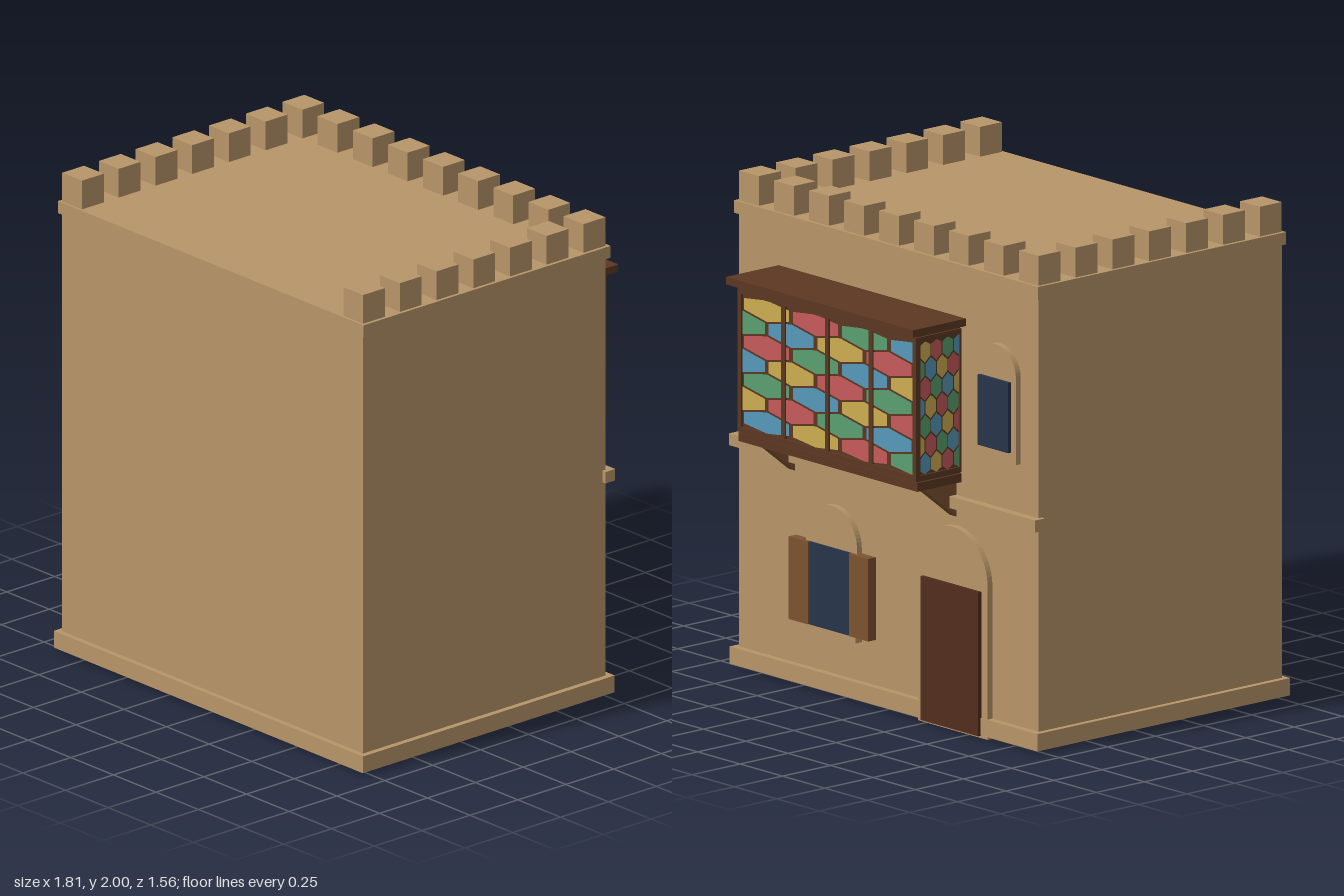
import * as THREE from 'three';

const mat = (name, color, side = THREE.FrontSide) => {
  const m = new THREE.MeshStandardMaterial({ color, side });
  m.name = name;
  return m;
};

export function createModel() {
  const stone = mat('sandstone', 0xb89669);
  const darkWood = mat('darkWood', 0x5c3822);
  const wood = mat('wood', 0x7d5331);
  const doorWood = mat('doorWood', 0x522d1c);
  const pane = mat('darkPane', 0x273449);
  const glass = [
    mat('yellowGlass', 0xcfae52), mat('redGlass', 0xc75a5c),
    mat('greenGlass', 0x5a9f70), mat('blueGlass', 0x5599bb),
  ];

  const house = new THREE.Group();
  house.name = 'house';
  const add = (name, geo, material, parent = house) => {
    const mesh = new THREE.Mesh(geo, material);
    mesh.name = name;
    parent.add(mesh);
    return mesh;
  };
  // Box given by its limits on each axis
  const box = (name, m, x0, x1, y0, y1, z0, z1, parent) => {
    const b = add(name, new THREE.BoxGeometry(x1 - x0, y1 - y0, z1 - z0), m, parent);
    b.position.set((x0 + x1) / 2, (y0 + y1) / 2, (z0 + z1) / 2);
    return b;
  };

  // Main block, plinth, cornice and string course
  const wallZ = -0.505;
  box('walls', stone, -0.883, 0.883, 0.02, 1.87, wallZ, 0.76);
  box('plinth', stone, -0.907, 0.907, 0.012, 0.082, -0.533, 0.782);
  box('cornice', stone, -0.897, 0.897, 1.83, 1.88, -0.52, 0.77);
  box('stringCourse', stone, -0.902, 0.902, 0.895, 0.943, -0.54, -0.49);

  // Battlements along the back and both sides
  const battlements = new THREE.Group();
  battlements.name = 'battlements';
  house.add(battlements);
  const merlon = (x, z) => box('merlon', stone, x - 0.058, x + 0.058, 1.875, 2, z - 0.057, z + 0.057, battlements);
  const backZ = -0.448, stepZ = 0.1917;
  for (let i = 0; i < 9; i++) merlon(-0.825 + i * 0.20625, backZ);
  for (const s of [-1, 1]) for (let i = 1; i < 7; i++) merlon(s * 0.825, backZ + i * stepZ);

  // Raised round-arched stone surround on the back wall
  const arch = (name, x, half, y0, top) => {
    const s = new THREE.Shape();
    const spring = top - half;
    s.moveTo(-half, y0);
    s.lineTo(half, y0);
    s.lineTo(half, spring);
    s.absarc(0, spring, half, 0, Math.PI, false);
    s.closePath();
    const geo = new THREE.ExtrudeGeometry(s, { depth: 0.035, bevelEnabled: false, curveSegments: 16 });
    add(name, geo, stone).position.set(x, 0, -0.53);
  };

  // Door
  arch('doorSurround', -0.405, 0.205, 0, 0.82);
  box('door', doorWood, -0.573, -0.232, 0.01, 0.59, -0.546, -0.52);

  // Lower window with shutters and sill
  arch('lowerWindowSurround', 0.31, 0.15, 0.262, 0.765);
  box('lowerWindowPane', pane, 0.192, 0.432, 0.262, 0.598, -0.538, -0.52);
  for (const s of [-1, 1]) {
    const c = 0.312 + s * 0.178;
    box('shutter', wood, c - 0.057, c + 0.057, 0.265, 0.598, -0.545, wallZ);
  }
  box('lowerWindowSill', stone, 0.16, 0.464, 0.24, 0.264, -0.538, wallZ);

  // Upper window
  arch('upperWindowSurround', -0.657, 0.12, 1.14, 1.605);
  box('upperWindowPane', pane, -0.748, -0.568, 1.185, 1.468, -0.545, -0.52);

  // Enclosed balcony
  const balcony = new THREE.Group();
  balcony.name = 'balcony';
  house.add(balcony);
  const cx = 0.098, half = 0.527, yLow = 1.04, yHigh = 1.62, outZ = -0.742, bar = 0.022;
  const inset = 0.01;
  box('balconyRoof', darkWood, -0.455, 0.65, 1.634, 1.664, -0.78, wallZ, balcony);
  box('balconyFloor', darkWood, cx - half, cx + half, 1.0, 1.035, -0.736, wallZ, balcony);
  box('balconyLattice', darkWood, cx - half + inset, cx + half - inset, 1.03, 1.64, outZ + inset, wallZ, balcony);
  for (const [y0, y1] of [[yLow, yLow + bar], [yHigh - bar, yHigh]])
    box('balconyRail', darkWood, cx - half, cx + half, y0, y1, outZ, wallZ, balcony);
  for (let i = 0; i < 5; i++) {
    const x = cx - half + bar / 2 + (i / 4) * (2 * half - bar);
    box('balconyPost', darkWood, x - bar / 2, x + bar / 2, yLow, yHigh, outZ, outZ + bar, balcony);
  }
  for (const s of [-1, 1]) {
    const x = cx + s * (half - bar / 2);
    box('wallPost', darkWood, x - bar / 2, x + bar / 2, yLow, yHigh, wallZ - 0.008, wallZ, balcony);
  }

  // Stained glass: staggered rows of six-sided panes, cut off at the frame
  const stainedGlass = (name, w, h, x, z, turn) => {
    const panel = new THREE.Group();
    panel.name = name;
    panel.position.set(x, (yLow + yHigh) / 2, z);
    panel.rotation.y = turn;
    balcony.add(panel);
    const rows = 7, cw = w / 3.5, ch = h / rows;
    const clamp = (v, lim) => Math.max(-lim, Math.min(lim, v));
    const shapes = glass.map(() => []);
    for (let r = 0; r < rows; r++) {
      for (let c = 0; c < 4; c++) {
        const px = -w / 2 + cw * (c + (r % 2 ? 0 : 0.5));
        const py = h / 2 - ch * (r + 0.5);
        const pts = [[0, -0.62], [0.46, -0.3], [0.46, 0.3], [0, 0.62], [-0.46, 0.3], [-0.46, -0.3]].map(
          ([u, v]) => new THREE.Vector2(clamp(px + u * cw, w / 2), clamp(py + v * ch, h / 2)));
        shapes[(c + Math.floor(r / 2) + (r % 2 ? 2 : 0)) % 4].push(new THREE.Shape(pts));
      }
    }
    shapes.forEach((list, i) => add(glass[i].name, new THREE.ShapeGeometry(list), glass[i], panel));
  };
  const glassH = yHigh - yLow - 2 * bar;
  const sideW = wallZ - outZ - bar - 0.008;
  const sideZ = (wallZ - 0.008 + outZ + bar) / 2;
  stainedGlass('outerGlass', 2 * (half - bar), glassH, cx, outZ + inset - 0.004, Math.PI);
  stainedGlass('leftGlass', sideW, glassH, cx + half - inset + 0.004, sideZ, Math.PI / 2);
  stainedGlass('rightGlass', sideW, glassH, cx - half + inset - 0.004, sideZ, -Math.PI / 2);

  // Triangular brackets under the balcony
  const tri = new THREE.Shape([[0, 0.855], [0.185, 1.002], [0, 1.002]].map(([u, v]) => new THREE.Vector2(u, v)));
  const bracketGeo = new THREE.ExtrudeGeometry(tri, { depth: 0.04, bevelEnabled: false });
  bracketGeo.translate(0, 0, -0.02);
  for (const s of [-1, 1]) {
    const b = add('bracket', bracketGeo, wood, balcony);
    b.rotation.y = Math.PI / 2;
    b.position.set(cx + s * 0.475, 0, wallZ);
  }

  return house;
}
